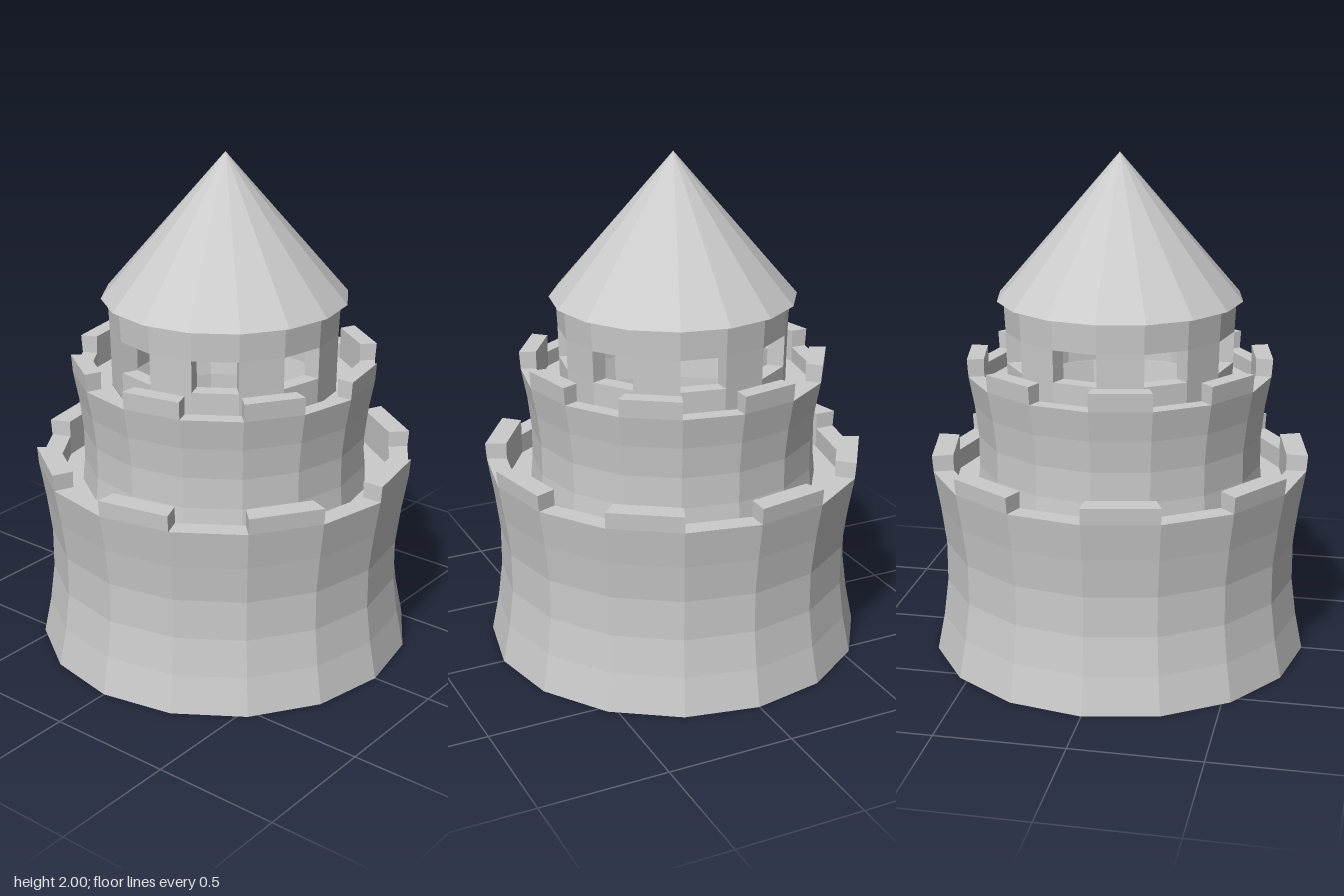
import * as THREE from 'three';
import { mergeGeometries } from 'three/addons/utils/BufferGeometryUtils.js';

const SIDES = 16;
const STEP = (Math.PI * 2) / SIDES;
const stone = new THREE.MeshStandardMaterial({ color: 0xcccccc, flatShading: true, side: THREE.DoubleSide });

const toPoints = (profile) => profile.map(([r, y]) => new THREE.Vector2(r, y));

function mesh(name, geometry) {
  const flat = geometry.index ? geometry.toNonIndexed() : geometry;
  flat.computeVertexNormals();
  const m = new THREE.Mesh(flat, stone);
  m.name = name;
  return m;
}

// Sixteen-sided ring swept from a [radius, height] profile
const ring = (name, profile) => mesh(name, new THREE.LatheGeometry(toPoints(profile), SIDES));

// Radial end face of a wall block
function endCap(profile, angle, flip) {
  const g = new THREE.ShapeGeometry(new THREE.Shape(toPoints(profile)));
  if (flip) g.index.array.reverse();
  return g.rotateY(angle - Math.PI / 2);
}

// Wall blocks standing on every other facet
function alternateBlocks(name, profile) {
  const group = new THREE.Group();
  group.name = name + 's';
  for (let i = 0; i < SIDES; i += 2) {
    const start = i * STEP;
    const skin = new THREE.LatheGeometry(toPoints([...profile, profile[0]]), 1, start, STEP);
    const parts = [skin, endCap(profile, start, false), endCap(profile, start + STEP, true)];
    group.add(mesh(name, mergeGeometries(parts.map((p) => p.toNonIndexed()))));
  }
  return group;
}

export function createModel() {
  const tower = new THREE.Group();
  tower.name = 'tower';

  // Lower tier: waisted wall, parapet rim and walkway
  tower.add(ring('lowerWall', [
    [0.755, 0], [0.725, 0.15], [0.706, 0.3], [0.706, 0.46], [0.725, 0.61], [0.75, 0.76],
    [0.67, 0.76], [0.67, 0.68], [0.575, 0.68],
  ]));
  tower.add(alternateBlocks('lowerMerlon', [[0.75, 0.76], [0.755, 0.825], [0.67, 0.825], [0.67, 0.76]]));

  // Middle tier, the same form at a smaller size
  tower.add(ring('middleWall', [
    [0.575, 0.68], [0.566, 0.775], [0.566, 0.897], [0.58, 1.02], [0.602, 1.14],
    [0.54, 1.14], [0.54, 1.08], [0.45, 1.08],
  ]));
  tower.add(alternateBlocks('middleMerlon', [[0.602, 1.14], [0.607, 1.21], [0.54, 1.21], [0.54, 1.14]]));

  // Top drum: sill, piers between the open windows, lintel
  tower.add(ring('windowSill', [[0.448, 1.08], [0.45, 1.19], [0.385, 1.19], [0.385, 1.08]]));
  tower.add(alternateBlocks('windowPier', [[0.45, 1.19], [0.453, 1.315], [0.385, 1.315], [0.385, 1.19]]));
  tower.add(ring('windowLintel', [[0.385, 1.435], [0.385, 1.315], [0.453, 1.315], [0.459, 1.435]]));

  // Conical roof with overhanging eaves
  tower.add(ring('roof', [[0.385, 1.435], [0.485, 1.435], [0, 2]]));
  return tower;
}
